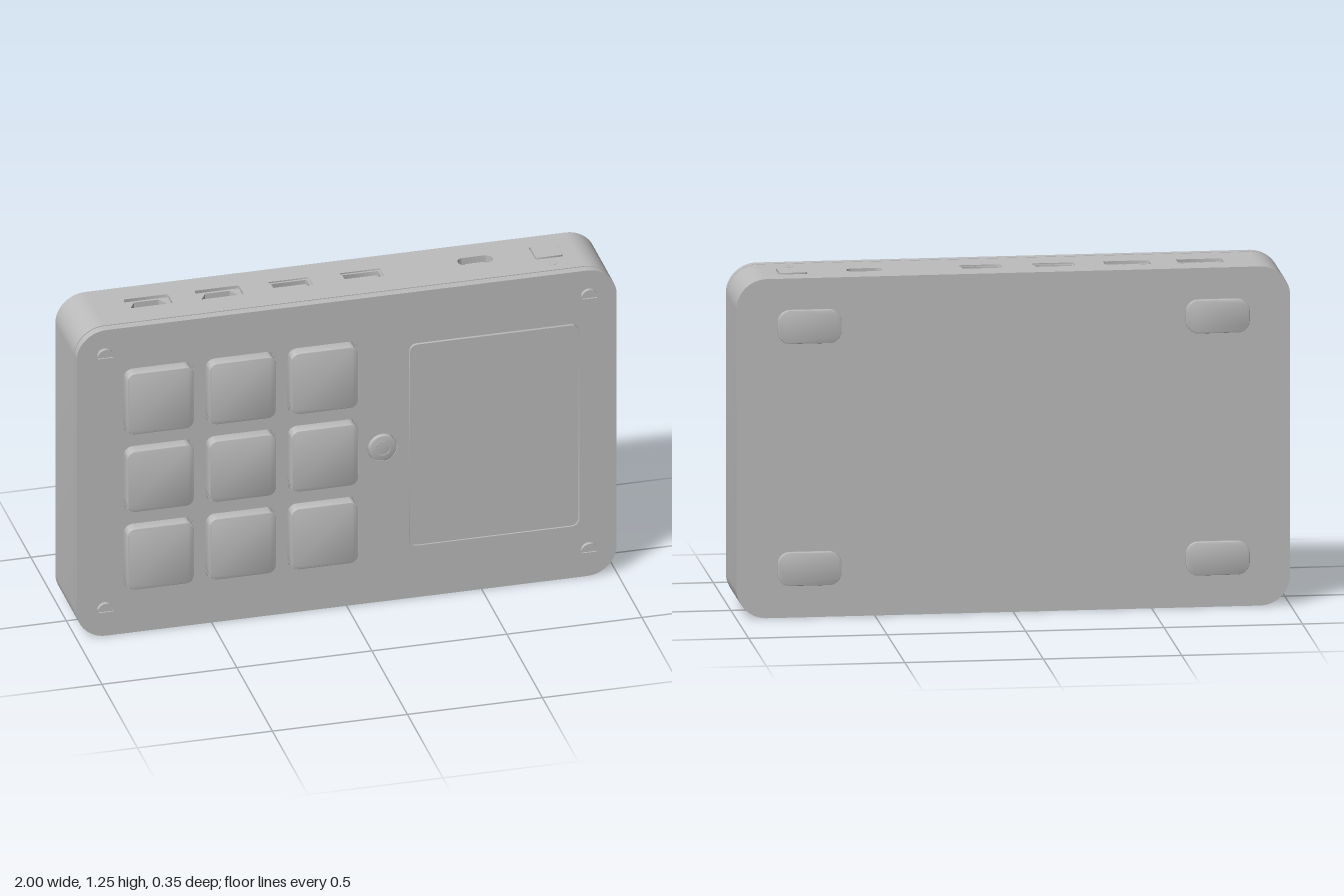
import * as THREE from 'three';
import { toCreasedNormals } from 'three/addons/utils/BufferGeometryUtils.js';

const H = 1.24, CORNER = 0.11, WALL = 0.06;
const BACK = -0.155, BODY_FRONT = 0.109, PLATE_BACK = 0.114, PLATE_FRONT = 0.145;

// Rounded rectangle centred on (x, y)
function roundRect(x, y, w, h, r, P = THREE.Shape) {
  const s = new P(), a = x - w / 2, b = x + w / 2, c = y - h / 2, d = y + h / 2;
  s.moveTo(a + r, c);
  s.lineTo(b - r, c);
  s.absarc(b - r, c + r, r, -Math.PI / 2, 0);
  s.lineTo(b, d - r);
  s.absarc(b - r, d - r, r, 0, Math.PI / 2);
  s.lineTo(a + r, d);
  s.absarc(a + r, d - r, r, Math.PI / 2, Math.PI);
  s.lineTo(a, c + r);
  s.absarc(a + r, c + r, r, Math.PI, Math.PI * 1.5);
  return s;
}

function circle(x, y, r, P = THREE.Shape) {
  const s = new P();
  s.absarc(x, y, r, 0, Math.PI * 2);
  return s;
}

// Trapezoid, wider on its lower edge
function trapezoid(x, y, wTop, wBottom, h) {
  const s = new THREE.Path();
  s.moveTo(x - wBottom / 2, y - h / 2);
  s.lineTo(x + wBottom / 2, y - h / 2);
  s.lineTo(x + wTop / 2, y + h / 2);
  s.lineTo(x - wTop / 2, y + h / 2);
  s.closePath();
  return s;
}

export function createModel() {
  const model = new THREE.Group();
  model.name = 'keypadConsole';
  const grey = new THREE.MeshStandardMaterial({ color: 0xbcbcbc });
  grey.name = 'grey';

  // Extrude a shape from z0 to z1, with an optional small bevel at the front
  function slab(name, shape, z0, z1, bevel = 0) {
    const geo = new THREE.ExtrudeGeometry(shape, {
      depth: z1 - z0 - 2 * bevel, curveSegments: 10, bevelEnabled: bevel > 0,
      bevelThickness: bevel, bevelSize: bevel, bevelOffset: -bevel, bevelSegments: 2,
    });
    geo.translate(0, 0, z0 + bevel);
    const mesh = new THREE.Mesh(toCreasedNormals(geo, 0.6), grey);
    mesh.name = name;
    model.add(mesh);
    return mesh;
  }

  // The same, but standing upright: shape y becomes -z, depth becomes y
  function upright(name, shape, y0, y1) {
    const mesh = slab(name, shape, y0, y1);
    mesh.geometry.rotateX(-Math.PI / 2);
    return mesh;
  }

  // Case body, notched along the top for the port wall
  const n = 1 - CORNER, body = new THREE.Shape();
  body.moveTo(-n, 0);
  body.lineTo(n, 0);
  body.absarc(n, CORNER, CORNER, -Math.PI / 2, 0);
  body.lineTo(1, H - CORNER);
  body.absarc(n, H - CORNER, CORNER, 0, Math.PI / 2);
  body.lineTo(n, H - WALL);
  body.lineTo(-n, H - WALL);
  body.lineTo(-n, H);
  body.absarc(-n, H - CORNER, CORNER, Math.PI / 2, Math.PI);
  body.lineTo(-1, CORNER);
  body.absarc(-n, CORNER, CORNER, Math.PI, Math.PI * 1.5);
  slab('caseBody', body, BACK, BODY_FRONT);

  // Top wall with port openings
  const wall = new THREE.Shape();
  wall.moveTo(-n, -BODY_FRONT);
  wall.lineTo(n, -BODY_FRONT);
  wall.lineTo(n, -BACK);
  wall.lineTo(-n, -BACK);
  wall.closePath();
  const portY = 0.029;

  // Wide video ports: recessed frame with a tapered opening
  for (const x of [-0.69, -0.427]) {
    wall.holes.push(roundRect(x, portY, 0.165, 0.07, 0.008, THREE.Path));
    const frame = roundRect(x, portY, 0.165, 0.07, 0.008);
    frame.holes.push(trapezoid(x, portY, 0.09, 0.15, 0.05));
    upright('videoPortFrame', frame, H - WALL, H - 0.012);
  }

  // Data ports: thin sleeve with an inner tongue
  for (const x of [-0.162, 0.102]) {
    wall.holes.push(roundRect(x, portY, 0.148, 0.062, 0.006, THREE.Path));
    const frame = roundRect(x, portY, 0.148, 0.062, 0.006);
    frame.holes.push(roundRect(x, portY, 0.132, 0.046, 0.004, THREE.Path));
    upright('dataPortSleeve', frame, H - WALL, H - 0.005);
    upright('dataPortTongue', roundRect(x, portY + 0.012, 0.12, 0.016, 0.002), H - WALL, H - 0.02);
  }

  // Small rounded power port
  wall.holes.push(roundRect(0.523, 0.033, 0.128, 0.055, 0.024, THREE.Path));
  upright('powerPortTongue', roundRect(0.523, 0.033, 0.075, 0.016, 0.004), H - WALL, H - 0.015);

  // Power button with its ring mark
  wall.holes.push(roundRect(0.785, 0.031, 0.104, 0.099, 0.01, THREE.Path));
  upright('powerButton', roundRect(0.785, 0.031, 0.098, 0.093, 0.008), H - WALL, H + 0.005);
  const mark = circle(0.785, -0.058, 0.016);
  mark.holes.push(circle(0.785, -0.058, 0.011, THREE.Path));
  upright('powerMark', mark, H - 0.002, H + 0.001);
  upright('topWall', wall, H - WALL, H);

  // Front plate with cut-outs, and the parts that sit in them
  const plate = roundRect(0, H / 2, 2, H, CORNER);
  for (const x of [-0.696, -0.392, -0.088]) {
    for (const y of [0.94, 0.625, 0.31]) {
      plate.holes.push(roundRect(x, y, 0.262, 0.262, 0.035, THREE.Path));
      slab('keycap', roundRect(x, y, 0.246, 0.246, 0.03), BODY_FRONT, 0.175, 0.003);
    }
  }

  // Display panel
  plate.holes.push(roundRect(0.546, 0.62, 0.632, 0.822, 0.03, THREE.Path));
  slab('displayPanel', roundRect(0.546, 0.62, 0.622, 0.812, 0.026), BODY_FRONT, 0.147);

  // Round control button with a stepped cap
  plate.holes.push(circle(0.133, 0.625, 0.056, THREE.Path));
  slab('controlButton', circle(0.133, 0.625, 0.051), BODY_FRONT, 0.153, 0.002);
  const ring = circle(0.133, 0.625, 0.03);
  ring.holes.push(circle(0.133, 0.625, 0.025, THREE.Path));
  slab('controlButtonRing', ring, 0.15, 0.155);
  slab('frontPlate', plate, PLATE_BACK, PLATE_FRONT);

  // Slotted screws and their spacers
  for (const x of [-0.896, 0.896]) {
    for (const y of [0.108, 1.138]) {
      slab('screwHead', circle(x, y, 0.029), PLATE_FRONT - 0.002, 0.154);
      slab('screwSpacer', circle(x, y, 0.014), BODY_FRONT - 0.002, PLATE_BACK + 0.002);
      for (const side of [0, Math.PI]) {
        const half = new THREE.Shape();
        half.absarc(x, y, 0.029, side + 0.18, side + Math.PI - 0.18);
        slab('screwSlotHalf', half, 0.153, 0.16);
      }
    }
  }

  // Rubber feet on the back
  for (const x of [-0.737, 0.737]) {
    for (const y of [0.18, 1.065]) {
      slab('foot', roundRect(x, y, 0.23, 0.122, 0.045), -0.175, BACK + 0.002, 0.003);
    }
  }
  return model;
}
